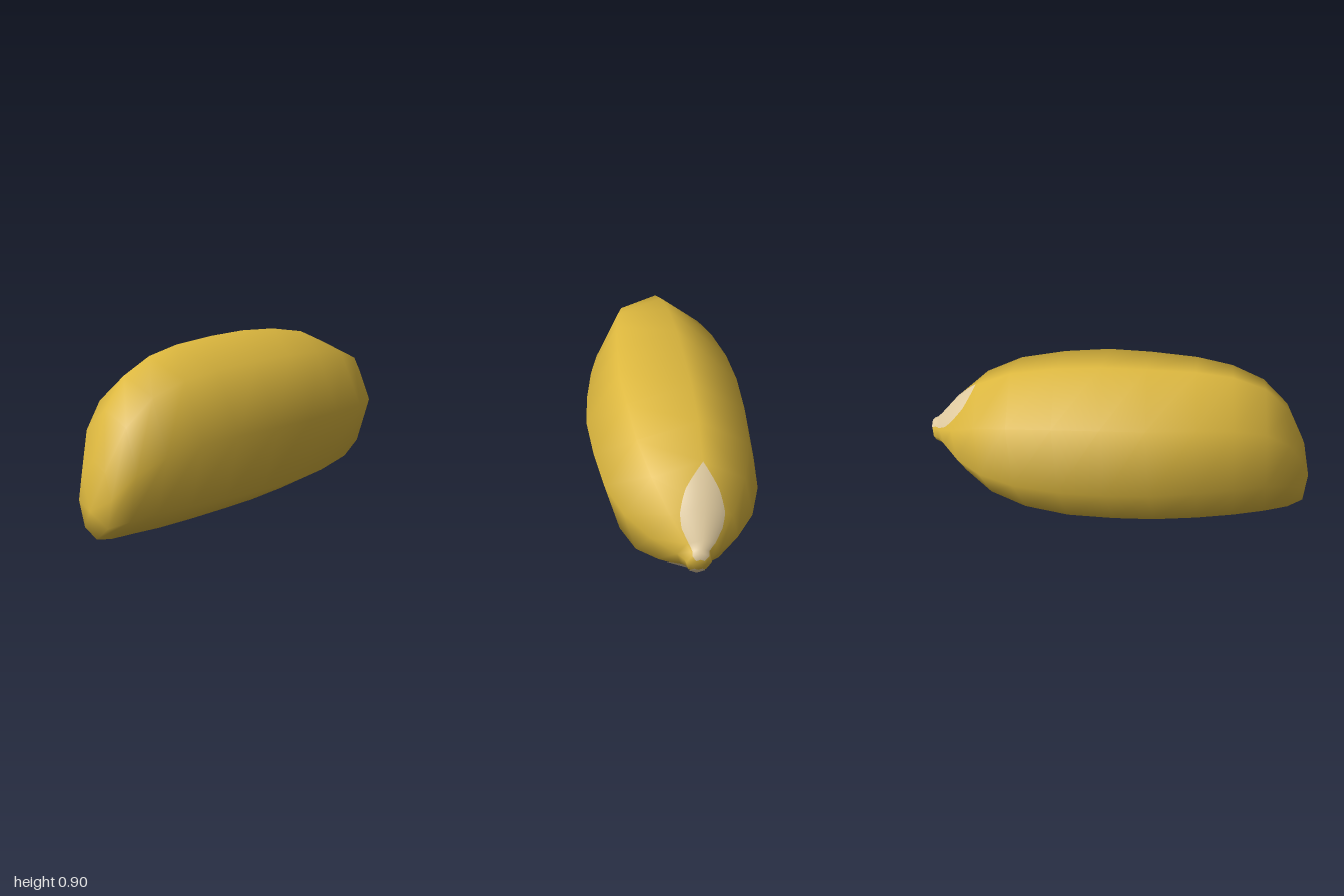
import * as THREE from 'three';

const SIDES = 8;
const TWIST = THREE.MathUtils.degToRad(9.3);

// Rings from blunt end to stem: x at top, x at bottom, top y, bottom y, front z, back z
const RINGS = [
  [-1, -1, 0.25, 0.25, 0, 0],
  [-0.95, -0.98, 0.47, 0.11, 0.11, -0.12],
  [-0.85, -0.9, 0.68, 0.085, 0.18, -0.21],
  [-0.72, -0.78, 0.81, 0.07, 0.24, -0.28],
  [-0.56, -0.62, 0.87, 0.05, 0.3, -0.335],
  [-0.38, -0.43, 0.893, 0.033, 0.35, -0.38],
  [-0.14, -0.21, 0.896, 0.018, 0.395, -0.415],
  [0.08, 0, 0.89, 0.007, 0.42, -0.42],
  [0.31, 0.24, 0.865, 0, 0.41, -0.4],
  [0.54, 0.47, 0.815, 0.025, 0.385, -0.36],
  [0.72, 0.66, 0.73, 0.085, 0.32, -0.285],
  [0.86, 0.8, 0.6, 0.19, 0.22, -0.18],
  [0.95, 0.9, 0.49, 0.29, 0.12, -0.07],
  [0.975, 0.95, 0.462, 0.322, 0.095, -0.03],
  [0.992, 0.983, 0.453, 0.337, 0.09, -0.022],
  [1, 0.995, 0.425, 0.365, 0.065, 0.005],
  [1, 1, 0.395, 0.395, 0.035, 0.035],
];

function ringPoint([xt, xb, t, b, f, k], i) {
  const a = TWIST + (i * 2 * Math.PI) / SIDES;
  const s = Math.sin(a) / Math.cos(TWIST);
  const c = Math.cos(a) / Math.cos(TWIST);
  return [
    (xt + xb) / 2 + ((xt - xb) / 2) * s,
    (t + b) / 2 + ((t - b) / 2) * s,
    (f + k) / 2 + ((f - k) / 2) * c,
  ];
}

// Smooth eight-sided loft, closed to a point at each end
function bodyGeometry() {
  const pos = [];
  const idx = [];
  const last = RINGS.length - 1;
  const id = (r, i) => {
    if (r === 0) return 0;
    if (r === last) return 1 + (last - 1) * SIDES;
    return 1 + (r - 1) * SIDES + (i % SIDES);
  };
  RINGS.forEach((ring, r) => {
    const n = r === 0 || r === last ? 1 : SIDES;
    for (let i = 0; i < n; i++) pos.push(...ringPoint(ring, i));
  });
  for (let r = 0; r < last; r++) {
    for (let i = 0; i < SIDES; i++) {
      const a = id(r, i), b = id(r + 1, i), c = id(r + 1, i + 1), d = id(r, i + 1);
      if (r < last - 1) idx.push(a, b, c);
      if (r > 0) idx.push(a, c, d);
    }
  }
  const geo = new THREE.BufferGeometry();
  geo.setAttribute('position', new THREE.Float32BufferAttribute(pos, 3));
  geo.setIndex(idx);
  geo.computeVertexNormals();
  geo.userData.id = id;
  return geo;
}

// Half-width of a pale patch, in sides, at each half ring from its tip to the stem
const PATCH_WIDTHS = [0, 0.42, 0.7, 0.85, 0.86, 0.82, 0.8, 0.85, 0.9, 0.9, 0.85];
const PATCH_START = 10;

// Leaf-shaped skin lying just above the body along one of its ridges
function patchGeometry(body, ridge) {
  const { position, normal } = body.attributes;
  const id = body.userData.id;
  const sample = (attr, u, v) => {
    const r = Math.min(Math.floor(u), RINGS.length - 2);
    const i = Math.floor(v);
    const at = (a, b) => new THREE.Vector3().fromBufferAttribute(attr, id(a, b));
    const low = at(r, i).lerp(at(r, i + 1), v - i);
    return low.lerp(at(r + 1, i).lerp(at(r + 1, i + 1), v - i), u - r);
  };
  const pos = [], nor = [], idx = [];
  const STEP = 4, COLS = 8;
  const rows = (PATCH_WIDTHS.length - 1) * STEP;
  for (let j = 0; j <= rows; j++) {
    const w = Math.min(Math.floor(j / STEP), PATCH_WIDTHS.length - 2);
    const half = THREE.MathUtils.lerp(PATCH_WIDTHS[w], PATCH_WIDTHS[w + 1], j / STEP - w);
    for (let c = 0; c <= COLS; c++) {
      const u = PATCH_START + j / (2 * STEP);
      const v = ridge + half * ((2 * c) / COLS - 1);
      const n = sample(normal, u, v).normalize();
      const p = sample(position, u, v).addScaledVector(n, 0.004);
      p.x = Math.min(p.x, 1.002);
      pos.push(...p.toArray());
      nor.push(...n.toArray());
      if (j < rows && c < COLS) {
        const a = j * (COLS + 1) + c, b = a + COLS + 1;
        idx.push(a, b, b + 1, a, b + 1, a + 1);
      }
    }
  }
  const geo = new THREE.BufferGeometry();
  geo.setAttribute('position', new THREE.Float32BufferAttribute(pos, 3));
  geo.setAttribute('normal', new THREE.Float32BufferAttribute(nor, 3));
  geo.setIndex(idx);
  return geo;
}

export function createModel() {
  const group = new THREE.Group();
  group.name = 'seed';
  const yellow = new THREE.MeshStandardMaterial({ color: 0xdcb73e });
  yellow.name = 'golden yellow';
  const cream = new THREE.MeshStandardMaterial({ color: 0xdfca9f });
  cream.name = 'pale cream';

  const add = (name, geo, mat) => {
    const mesh = new THREE.Mesh(geo, mat);
    mesh.name = name;
    group.add(mesh);
  };
  const body = bodyGeometry();
  add('body', body, yellow);
  add('upperPatch', patchGeometry(body, 2), cream);
  add('lowerPatch', patchGeometry(body, 6), cream);
  return group;
}
